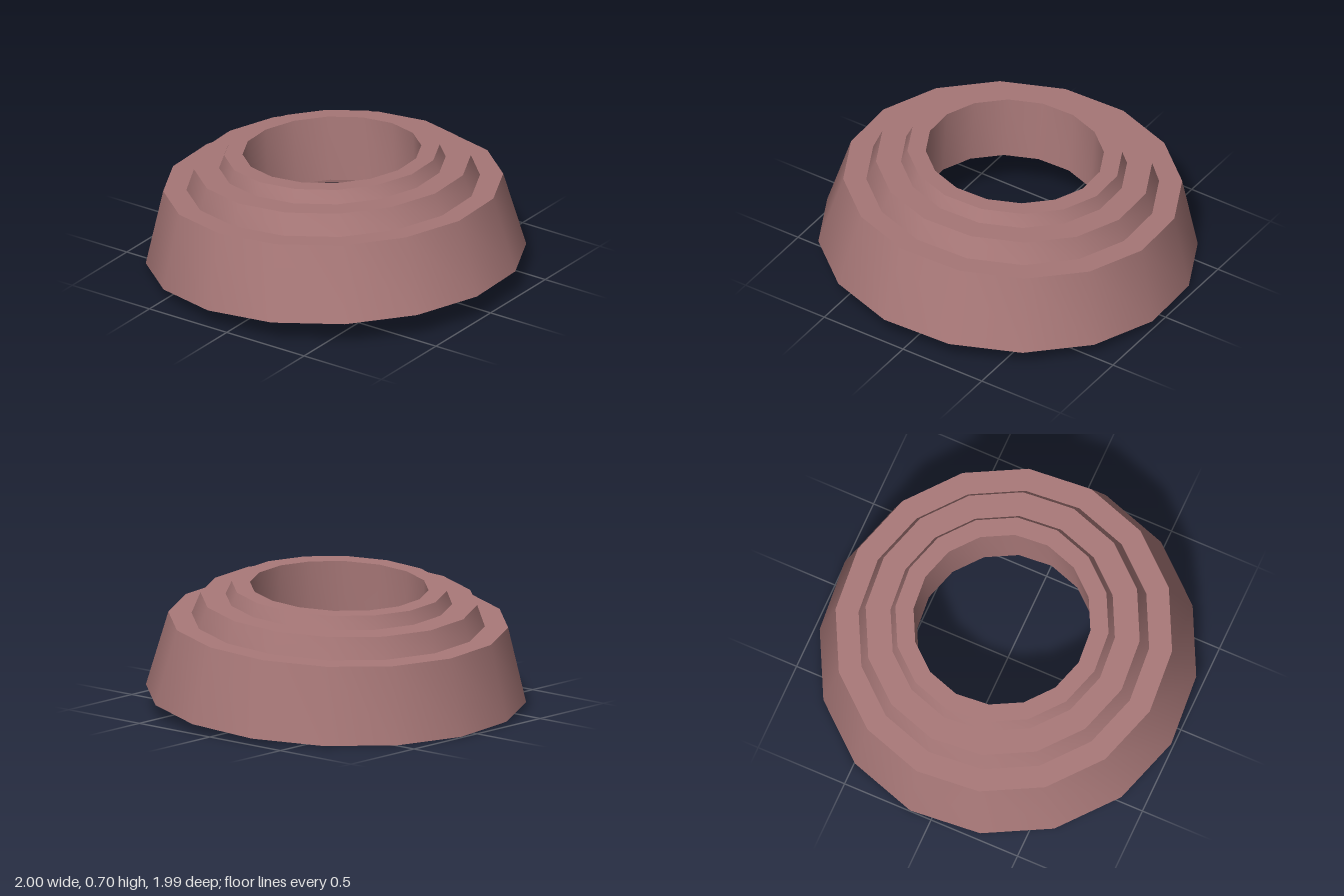
import * as THREE from 'three';
import { toCreasedNormals } from 'three/addons/utils/BufferGeometryUtils.js';

export function createModel() {
  const group = new THREE.Group();
  const material = new THREE.MeshStandardMaterial({ color: 0xa87878, side: THREE.DoubleSide });

  // Thin shell profile as [radius, height], from outer rim over the steps and down the central tube
  const profile = [
    [1.007, 0], [0.9, 0.405],
    [0.777, 0.405], [0.733, 0.52],
    [0.6, 0.52], [0.57, 0.59],
    [0.473, 0.59], [0.473, 0.23],
  ].map(([r, y]) => new THREE.Vector2(r, y));

  // Sixteen sides, smooth around the ring and sharp at each step
  const lathe = new THREE.LatheGeometry(profile, 16, THREE.MathUtils.degToRad(15.5));
  const ring = new THREE.Mesh(toCreasedNormals(lathe, 0.6), material);
  ring.name = 'steppedRing';

  // The whole ring leans slightly towards the back and its left
  const axis = new THREE.Vector3(0.03, 1, -0.066).normalize();
  ring.quaternion.setFromUnitVectors(new THREE.Vector3(0, 1, 0), axis);
  ring.position.y = 0.072;

  group.add(ring);
  return group;
}
